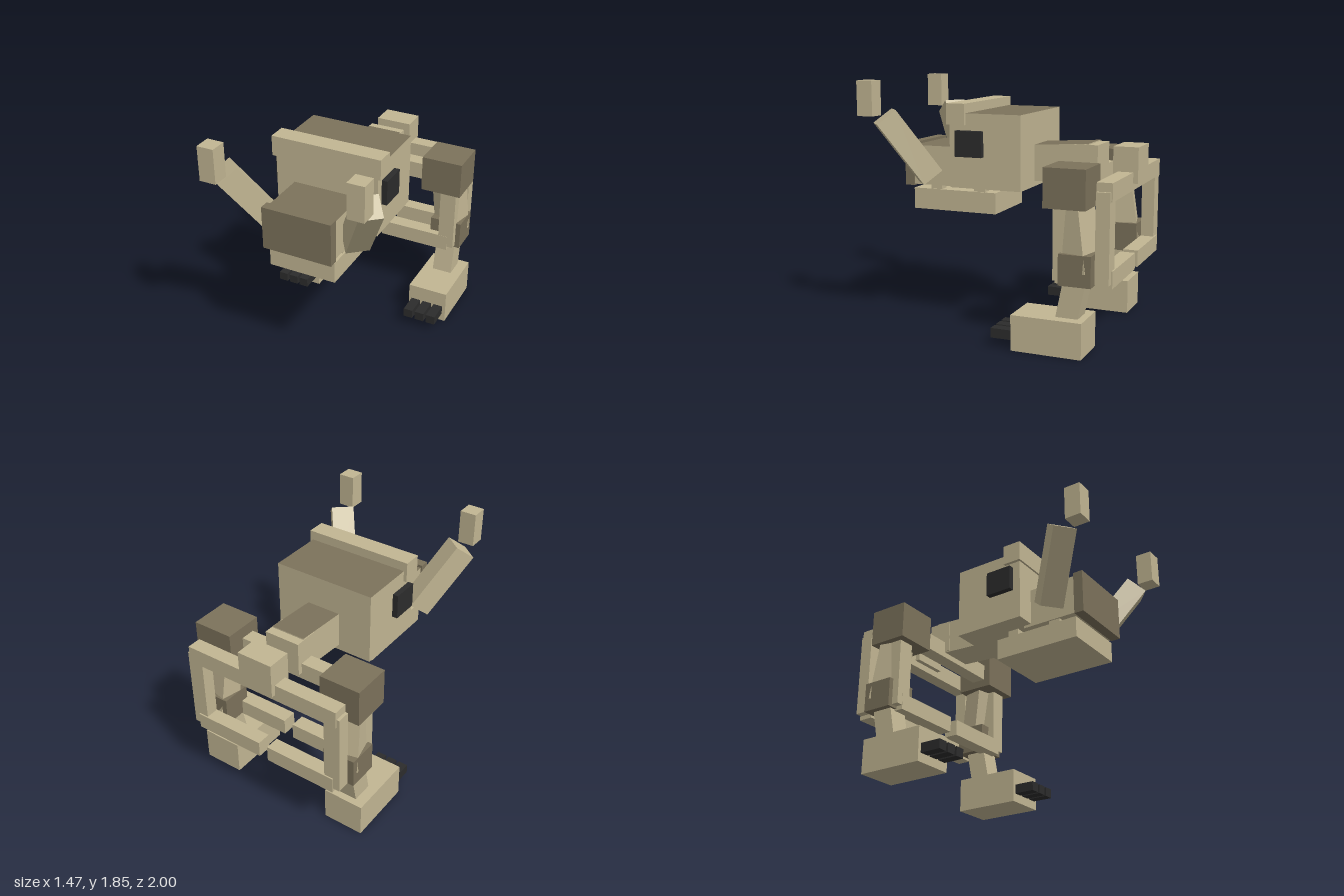
import * as THREE from 'three';

export function createModel() {
  const model = new THREE.Group();
  model.name = 'walkerRobot';

  const material = (name, color) => {
    const m = new THREE.MeshStandardMaterial({ color });
    m.name = name;
    return m;
  };
  const tan = material('tan', 0xc2b693);
  const dark = material('darkOlive', 0x7c725b);
  const black = material('black', 0x2c2c2c);
  const darkTop = [tan, tan, dark, tan, tan, tan];

  // Box given by its extents on each axis
  function box(name, mat, [x0, x1], [y0, y1], [z0, z1], parent = model) {
    const mesh = new THREE.Mesh(new THREE.BoxGeometry(x1 - x0, y1 - y0, z1 - z0), mat);
    mesh.position.set((x0 + x1) / 2, (y0 + y1) / 2, (z0 + z1) / 2);
    mesh.name = name;
    parent.add(mesh);
    return mesh;
  }
  // Box whose x extents are mirrored for the given side
  function sideBox(name, mat, s, [x0, x1], y, z, parent) {
    return box(name, mat, s > 0 ? [x0, x1] : [-x1, -x0], y, z, parent);
  }

  // Head, brow, snout and jaw
  box('head', darkTop, [-0.405, 0.405], [1.07, 1.62], [-0.21, 0.35]);
  box('brow', tan, [-0.43, 0.43], [1.535, 1.69], [0.22, 0.365]);
  box('snout', darkTop, [-0.26, 0.26], [1.05, 1.35], [0.29, 0.73]);
  box('nose', dark, [-0.27, 0.27], [1.04, 1.37], [0.725, 0.8]);
  box('jaw', tan, [-0.26, 0.26], [0.86, 1.02], [0.05, 0.73]);

  // Neck rises slightly towards the hip block
  const neck = box('neck', darkTop, [-0.135, 0.135], [1.122, 1.392], [-0.64, -0.12]);
  neck.rotation.x = 0.063;

  // Front and rear frames: centre block, upper bar, posts and split lower bar
  for (const [label, zBlock, zBar] of [
    ['hip', [-0.7, -0.51], [-0.665, -0.55]],
    ['rear', [-1.0, -0.815], [-0.965, -0.853]],
  ]) {
    const frame = new THREE.Group();
    frame.name = label + 'Frame';
    model.add(frame);
    box(label + 'Block', tan, [-0.14, 0.14], [1.14, 1.4], zBlock, frame);
    box(label + 'UpperBar', tan, [-0.64, 0.64], [1.09, 1.22], zBar, frame);
    const zPost = [zBar[0] + 0.01, zBar[1] - 0.002];
    for (const s of [1, -1]) {
      sideBox(label + 'Post', tan, s, [0.535, 0.662], [0.52, 1.157], zPost, frame);
      sideBox(label + 'LowerBar', tan, s, [0.037, 0.61], [0.488, 0.612], zBar, frame);
    }
  }

  for (const s of [1, -1]) {
    const label = s > 0 ? 'left' : 'right';

    // Eyes and jaw pegs
    sideBox(label + 'Eye', black, s, [0.4, 0.448], [1.305, 1.495], [0.08, 0.29]);
    for (const z of [0.185, 0.545])
      sideBox(label + 'JawPeg', tan, s, [0.175, 0.25], [1.01, 1.08], [z - 0.044, z + 0.044]);

    // Slanted arm, with a separate hand in front of its tip
    const across = new THREE.Vector3(-0.763 * s, 0, 0.646).normalize();
    const along = new THREE.Vector3(0.384 * s, 0.804, 0.454).normalize();
    const out = new THREE.Vector3().crossVectors(across, along).normalize();
    const arm = new THREE.Mesh(new THREE.BoxGeometry(0.173, 0.57, 0.173), tan);
    arm.name = label + 'Arm';
    arm.quaternion.setFromRotationMatrix(new THREE.Matrix4().makeBasis(across, along, out));
    arm.position.set(0.44 * s, 1.359, 0.68);
    model.add(arm);
    sideBox(label + 'Hand', tan, s, [0.488, 0.615], [1.59, 1.85], [0.873, 1.0]);

    // Leg: hip, twisted thigh, knee, slanted shin and foot
    const leg = new THREE.Group();
    leg.name = label + 'Leg';
    model.add(leg);
    sideBox('hip', dark, s, [0.392, 0.712], [1.03, 1.31], [-0.8, -0.495], leg);
    const thigh = sideBox('thigh', tan, s, [0.457, 0.677], [0.58, 1.12], [-0.79, -0.63], leg);
    thigh.rotation.set(0.15, -0.22 * s, 0.05 * s);
    sideBox('knee', dark, s, [0.446, 0.7], [0.5, 0.722], [-0.84, -0.605], leg);
    const shin = sideBox('shin', tan, s, [0.498, 0.655], [0.18, 0.58], [-0.76, -0.6], leg);
    shin.rotation.x = -0.2;
    sideBox('foot', tan, s, [0.418, 0.735], [0, 0.26], [-0.79, -0.27], leg);
    for (const x of [0.48, 0.576, 0.671])
      sideBox('toe', black, s, [x - 0.037, x + 0.037], [0.066, 0.137], [-0.28, -0.107], leg);
  }

  return model;
}
